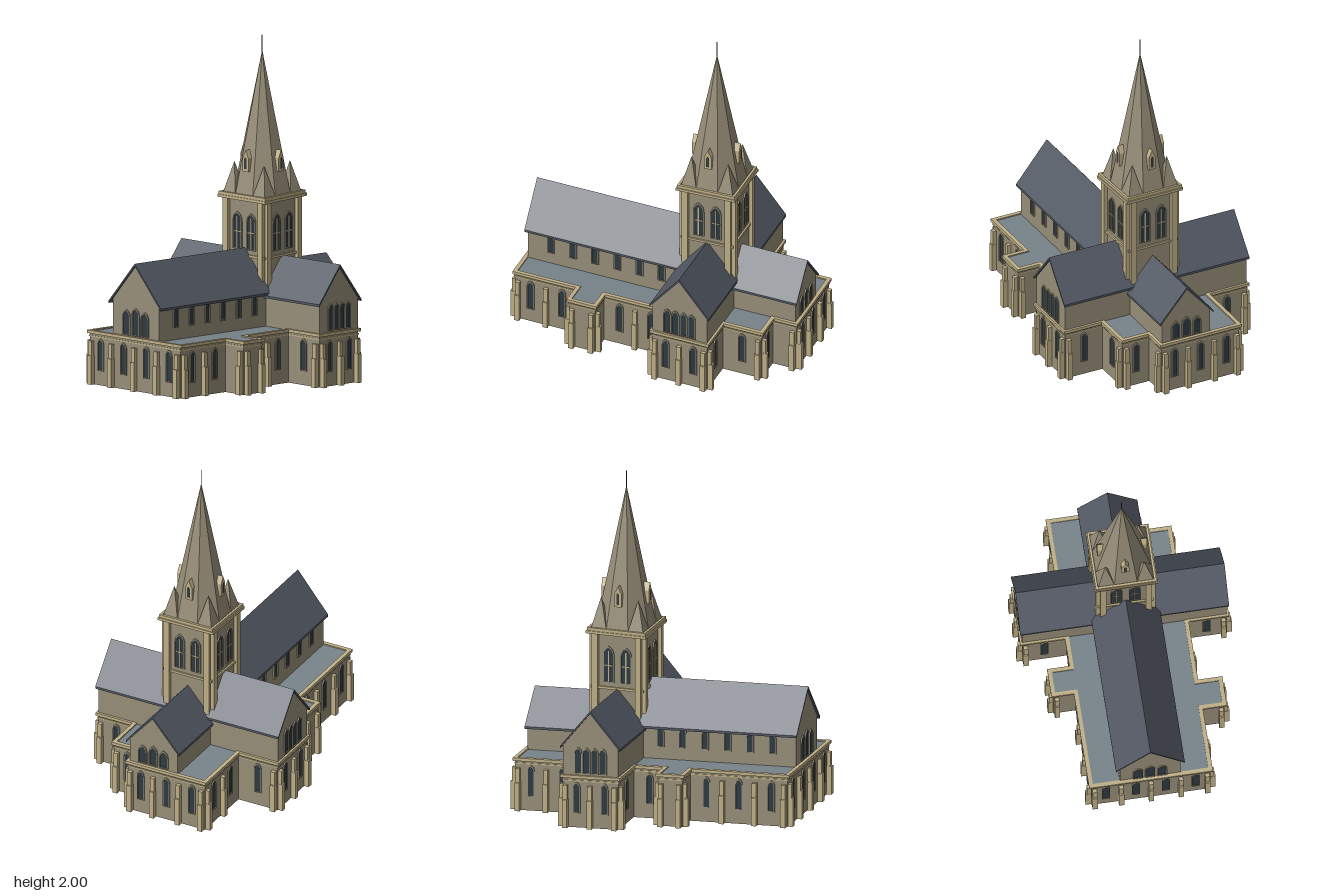
import * as THREE from 'three';
import { mergeGeometries } from 'three/addons/utils/BufferGeometryUtils.js';

const mat = (color) => new THREE.MeshStandardMaterial({ color, side: THREE.DoubleSide, flatShading: true });
const MATS = {
  stone: mat(0x978e78), trim: mat(0xc0b088), slate: mat(0x525863),
  lead: mat(0x77838a), glass: mat(0x2c3a42), metal: mat(0x3a3a3a),
};

// Plan of the lower storey: x, z, number of windows in the wall that starts here
const PLAN = [
  [-1.11, 0.35, 2], [-0.72, 0.35, 0], [-0.72, 0.49, 0], [-0.56, 0.49, 0], [-0.56, 0.35, 2],
  [-0.17, 0.35, 1], [-0.17, 0.585, 2], [0.17, 0.585, 1], [0.17, 0.34, 1], [0.41, 0.34, 1],
  [0.41, 0.165, 0], [0.555, 0.165, 3], [0.555, -0.345, 2], [0.17, -0.345, 1], [0.17, -0.605, 2],
  [-0.17, -0.605, 1], [-0.17, -0.345, 1], [-0.365, -0.345, 0], [-0.365, -0.475, 0],
  [-0.515, -0.475, 0], [-0.515, -0.345, 3], [-1.11, -0.345, 4],
];

// Frame with +z pointing out of a wall
const frame = (x, z, angle) => new THREE.Matrix4().makeRotationY(angle).setPosition(x, 0, z);
const box = (w, h, d, x, y, z) => new THREE.BoxGeometry(w, h, d).translate(x, y + h / 2, z);
const polygon = (pts) => new THREE.Shape(pts.map(([x, y]) => new THREE.Vector2(x, y)));

// Pointed window outline
function lancet(w, y0, y1) {
  const h = w / 2, spring = y1 - w * 0.8, s = new THREE.Shape();
  s.moveTo(-h, y0);
  s.lineTo(h, y0);
  s.lineTo(h, spring);
  s.quadraticCurveTo(h, y1 - w * 0.25, 0, y1);
  s.quadraticCurveTo(-h, y1 - w * 0.25, -h, spring);
  return s;
}

export function createModel() {
  const model = new THREE.Group();
  const body = new THREE.Group();
  body.name = 'church';
  body.rotation.y = 0.441;
  body.position.set(0.295, 0, -0.093);
  model.add(body);

  // Parts gather by name and material, and are merged at the end
  const parts = new Map();
  function add(name, material, geo, m) {
    let g = geo.index ? geo.toNonIndexed() : geo;
    if (m) g.applyMatrix4(m);
    g.deleteAttribute('uv');
    g.computeVertexNormals();
    if (!parts.has(name)) parts.set(name, { material, list: [] });
    parts.get(name).list.push(g);
  }

  function windowAt(prefix, m, x, y0, y1, w) {
    const opts = { bevelEnabled: false, curveSegments: 4 };
    const surround = lancet(w + 0.012, y0 - 0.006, y1 + 0.009);
    surround.holes.push(lancet(w, y0, y1));
    add(prefix + 'WindowFrames', 'stone', new THREE.ExtrudeGeometry(surround, { ...opts, depth: 0.007 }).translate(x, 0, 0), m);
    add(prefix + 'WindowPanes', 'glass', new THREE.ShapeGeometry(lancet(w, y0, y1), 4).translate(x, 0, 0.003), m);
  }

  // Lower storey: walls, cornice, buttresses and windows along each edge of the plan
  const n = PLAN.length;
  const convex = (i) => {
    const a = PLAN[(i + n - 1) % n], b = PLAN[i % n], c = PLAN[(i + 1) % n];
    return (b[0] - a[0]) * (c[1] - b[1]) - (b[1] - a[1]) * (c[0] - b[0]) < 0;
  };
  PLAN.forEach(([x, z, count], i) => {
    const [x2, z2] = PLAN[(i + 1) % n];
    const len = Math.hypot(x2 - x, z2 - z);
    const m = frame((x + x2) / 2, (z + z2) / 2, Math.atan2(z - z2, x2 - x));
    add('lowerWalls', 'stone', new THREE.PlaneGeometry(len, 0.3).translate(0, 0.15, 0), m);
    add('cornice', 'trim', box(len + 0.024, 0.018, 0.024, 0, 0.297, 0), m);
    add('stringCourse', 'trim', box(len + 0.008, 0.008, 0.008, 0, 0.278, 0), m);
    const bays = Math.max(count, 1), bay = len / bays;
    for (let k = 0; k <= bays; k++) {
      const end = k === 0 || k === bays;
      if (end && !convex(i + (k ? 1 : 0))) continue;
      const px = -len / 2 + k * bay + (k === 0 ? 0.02 : k === bays ? -0.02 : 0);
      add('buttresses', 'trim', box(0.03, 0.17, 0.032, px, 0, 0.014), m);
      add('buttresses', 'trim', box(0.026, 0.085, 0.024, px, 0.17, 0.01), m);
    }
    for (let k = 0; k < count; k++) windowAt('lower', m, -len / 2 + (k + 0.5) * bay, 0.09, 0.265, 0.034);
  });

  // Flat lead roofs over aisles and porches: x0, x1, z0, z1
  const flats = [
    [-1.11, -0.17, 0.17, 0.35], [-1.11, -0.17, -0.345, -0.17], [0.17, 0.41, 0.16, 0.34],
    [0.17, 0.555, -0.345, -0.16], [-0.72, -0.56, 0.35, 0.49], [-0.515, -0.365, -0.475, -0.345],
  ];
  for (const [x0, x1, z0, z1] of flats) {
    add('aisleRoofs', 'lead', box(x1 - x0, 0.006, z1 - z0, (x0 + x1) / 2, 0.302, (z0 + z1) / 2));
  }

  // Gabled limb: runs from the frame's origin along its +z, gable at the far end
  function limb(name, angle, length, wall, half, eave, ridge) {
    const m = frame(0, 0, angle), t = 0.014;
    const top = ridge - (ridge - eave) * wall / half - 0.006;
    const roof = polygon([[-half, eave], [0, ridge], [half, eave], [half, eave - t], [0, ridge - t], [-half, eave - t]]);
    add(name + 'Roof', 'slate', new THREE.ExtrudeGeometry(roof, { depth: length, bevelEnabled: false }), m);
    const end = length - 0.012;
    const gable = polygon([[-wall, 0.29], [wall, 0.29], [wall, top], [0, ridge - 0.008], [-wall, top]]);
    add(name + 'Walls', 'stone', new THREE.ShapeGeometry(gable).translate(0, 0, end), m);
    for (const s of [-1, 1]) {
      const side = new THREE.PlaneGeometry(end, top - 0.29).rotateY(s * Math.PI / 2);
      add(name + 'Walls', 'stone', side.translate(s * wall, (top + 0.29) / 2, end / 2), m);
    }
    return m.clone().multiply(new THREE.Matrix4().makeTranslation(0, 0, end));
  }
  const west = limb('nave', -Math.PI / 2, 1.112, 0.176, 0.2, 0.505, 0.745);
  const east = limb('chancel', Math.PI / 2, 0.56, 0.158, 0.175, 0.45, 0.645);
  const south = limb('southTransept', 0, 0.597, 0.168, 0.183, 0.488, 0.706);
  const north = limb('northTransept', Math.PI, 0.617, 0.168, 0.183, 0.488, 0.706);
  for (const x of [-0.07, 0, 0.07]) windowAt('gable', west, x, 0.325, 0.46 + (x ? 0 : 0.015), 0.045);
  for (const x of [-0.07, 0, 0.07]) windowAt('gable', east, x, 0.33, 0.43 + (x ? 0 : 0.012), 0.045);
  for (const x of [-0.075, -0.025, 0.025, 0.075]) {
    windowAt('gable', south, x, 0.33, 0.475, 0.036);
    windowAt('gable', north, x, 0.33, 0.475, 0.036);
  }

  // Clerestory windows on both sides of the nave
  for (let i = 0; i < 6; i++) {
    const x = -0.957 + i * 0.137;
    windowAt('clerestory', frame(x, 0.176, 0), 0, 0.385, 0.498, 0.034);
    windowAt('clerestory', frame(x, -0.176, Math.PI), 0, 0.385, 0.498, 0.034);
  }

  // The ground falls gently eastward: everything but the tower follows it
  const slope = new THREE.Matrix4().set(1, 0, 0, 0, -0.045, 1, 0, 0.026, 0, 0, 1, 0, 0, 0, 0, 1);
  for (const { list } of parts.values()) {
    for (const g of list) {
      g.applyMatrix4(slope);
      g.computeVertexNormals();
    }
  }

  // Tower: four faces with paired openings, corner strips, string course and parapet
  for (let i = 0; i < 4; i++) {
    const m = frame(0, 0, i * Math.PI / 2);
    const face = m.clone().multiply(new THREE.Matrix4().makeTranslation(0, 0, 0.152));
    add('towerWalls', 'stone', new THREE.PlaneGeometry(0.304, 0.71).translate(0, 0.715, 0.152), m);
    for (const s of [-1, 1]) {
      add('towerButtresses', 'trim', box(0.036, 0.64, 0.03, s * 0.132, 0.42, 0.158), m);
      windowAt('belfry', face, s * 0.053, 0.77, 0.975, 0.056);
      add('belfryMullions', 'trim', box(0.007, 0.185, 0.006, s * 0.053, 0.77, 0.156), m);
      add('belfryMullions', 'trim', box(0.05, 0.006, 0.006, s * 0.053, 0.865, 0.156), m);
    }
    add('towerStringCourse', 'trim', box(0.32, 0.014, 0.012, 0, 0.725, 0.156), m);
    add('towerParapet', 'trim', box(0.366, 0.016, 0.026, 0, 1.056, 0.17), m);
    add('towerParapet', 'trim', box(0.354, 0.02, 0.014, 0, 1.07, 0.17), m);

    // Corner pinnacles
    const pinnacle = new THREE.ConeGeometry(0.072, 0.2, 4).rotateY(Math.PI / 4);
    add('cornerPinnacles', 'stone', pinnacle.translate(0.113, 1.165, 0.113), m);

    // Gabled spire dormers
    const dormer = polygon([[-0.022, 1.22], [0.022, 1.22], [0.022, 1.3], [0, 1.345], [-0.022, 1.3]]);
    add('spireDormers', 'trim', new THREE.ExtrudeGeometry(dormer, { depth: 0.06, bevelEnabled: false }).translate(0, 0, 0.085), m);
    add('dormerOpenings', 'glass', new THREE.ShapeGeometry(lancet(0.018, 1.235, 1.305), 3).translate(0, 0, 0.147), m);
  }
  add('towerRoof', 'lead', box(0.33, 0.01, 0.33, 0, 1.058, 0));

  // Octagonal spire and its rod
  add('spire', 'stone', new THREE.ConeGeometry(0.175, 0.85, 8).rotateY(Math.PI / 8).translate(0, 1.49, 0));
  add('finialRod', 'metal', new THREE.CylinderGeometry(0.003, 0.003, 0.11, 6).translate(0, 1.945, 0));

  for (const [name, { material, list }] of parts) {
    const mesh = new THREE.Mesh(mergeGeometries(list), MATS[material]);
    mesh.name = name;
    body.add(mesh);
  }
  return model;
}
